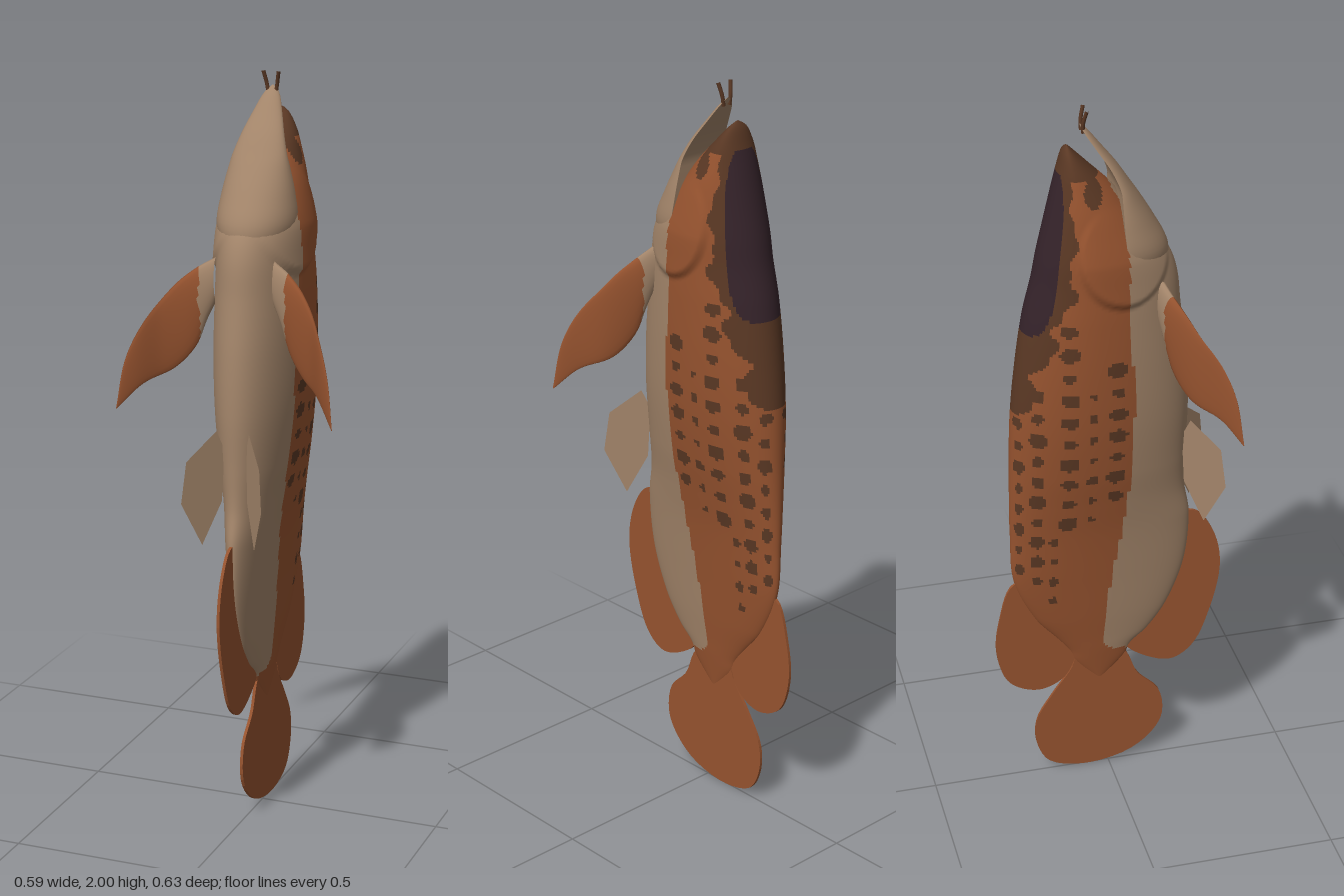
import * as THREE from 'three';

const mat = (name, color) => {
  const m = new THREE.MeshStandardMaterial({ color });
  m.name = name;
  return m;
};

// Smooth interpolation through rows [t, a, b, ...]
function track(rows) {
  const slope = (i, k) => {
    const a = rows[Math.max(i - 1, 0)], b = rows[Math.min(i + 1, rows.length - 1)];
    return (b[k] - a[k]) / (b[0] - a[0]);
  };
  return (t) => {
    let i = 0;
    while (i < rows.length - 2 && t > rows[i + 1][0]) i++;
    const p = rows[i], q = rows[i + 1], h = q[0] - p[0];
    const s = Math.min(Math.max((t - p[0]) / h, 0), 1), s2 = s * s, s3 = s2 * s;
    return p.slice(1).map((v, n) => {
      const k = n + 1;
      return (2 * s3 - 3 * s2 + 1) * v + (s3 - 2 * s2 + s) * h * slope(i, k)
        + (3 * s2 - 2 * s3) * q[k] + (s3 - s2) * h * slope(i + 1, k);
    });
  };
}

// Closed rings stacked along v; paint(centre) picks the material of each quad
function loft(name, nv, nu, point, materials, paint) {
  const pos = [], buckets = materials.map(() => []);
  for (let i = 0; i <= nv; i++)
    for (let j = 0; j < nu; j++) pos.push(...point(i / nv, (j / nu) * Math.PI * 2));
  const at = (i, k) => pos[i * 3 + k];
  for (let i = 0; i < nv; i++) {
    for (let j = 0; j < nu; j++) {
      const a = i * nu + j, b = i * nu + ((j + 1) % nu), c = a + nu, d = b + nu;
      const mid = [0, 1, 2].map((k) => (at(a, k) + at(b, k) + at(c, k) + at(d, k)) / 4);
      buckets[paint ? paint(...mid) : 0].push(a, c, b, b, c, d);
    }
  }
  const g = new THREE.BufferGeometry();
  g.setAttribute('position', new THREE.Float32BufferAttribute(pos, 3));
  g.setIndex(buckets.flat());
  let start = 0;
  buckets.forEach((b, i) => { g.addGroup(start, b.length, i); start += b.length; });
  g.computeVertexNormals();
  const mesh = new THREE.Mesh(g, materials);
  mesh.name = name;
  return mesh;
}

// Thin fin in the middle plane, outline given as [z, y]
function midFin(name, outline, material, depth = 0.008) {
  const curve = new THREE.CatmullRomCurve3(outline.map(([z, y]) => new THREE.Vector3(z, y, 0)), true);
  const shape = new THREE.Shape(curve.getPoints(56).slice(0, -1).map((p) => new THREE.Vector2(p.x, p.y)));
  const g = new THREE.ExtrudeGeometry(shape, { depth, bevelEnabled: false });
  g.translate(0, 0, -depth / 2);
  g.rotateY(-Math.PI / 2);
  const mesh = new THREE.Mesh(g, material);
  mesh.name = name;
  return mesh;
}

const clamp = THREE.MathUtils.clamp;

export function createModel() {
  const root = new THREE.Group();
  root.name = 'fish';
  const rust = mat('rust', 0x96532f), tan = mat('tan', 0xa3856a);
  const brown = mat('dark brown', 0x5a3824), plum = mat('dark plum', 0x35232a);

  // Body rows: y, belly z, widest z, back z, half width
  const body = track([
    [0.29, -0.02, -0.025, -0.03, 0.003], [0.36, 0.045, -0.025, -0.092, 0.012],
    [0.4, 0.065, -0.025, -0.11, 0.017], [0.44, 0.11, -0.03, -0.14, 0.021],
    [0.52, 0.165, -0.03, -0.205, 0.03], [0.65, 0.212, -0.03, -0.262, 0.043],
    [0.8, 0.225, -0.03, -0.27, 0.06], [0.9, 0.21, -0.03, -0.27, 0.076],
    [1.0, 0.21, -0.03, -0.268, 0.093], [1.15, 0.215, -0.035, -0.263, 0.11],
    [1.3, 0.208, -0.04, -0.248, 0.117], [1.45, 0.19, -0.04, -0.225, 0.117],
    [1.55, 0.178, -0.04, -0.2, 0.113], [1.62, 0.15, -0.045, -0.186, 0.11],
    [1.7, 0.085, -0.055, -0.167, 0.099], [1.75, 0.045, -0.065, -0.155, 0.089],
    [1.8, 0.005, -0.08, -0.143, 0.074], [1.85, -0.045, -0.095, -0.13, 0.056],
    [1.895, -0.09, -0.105, -0.117, 0.028], [1.91, -0.105, -0.105, -0.106, 0.002],
  ]);
  const ring = ([zf, zc, zb, w], y, a) => {
    const s = Math.sin(a);
    return [w * Math.cos(a), y, zc + s * (s > 0 ? zf - zc : zc - zb)];
  };
  // Gill covers swell from the head and drop off at the rear edge
  const bodyPoint = (v, a) => {
    const p = ring(body(0.29 + 1.62 * v), 0.29 + 1.62 * v, a);
    const e = ((p[2] - 0.025) / 0.13) ** 2 + ((p[1] - 1.64) / 0.145) ** 2;
    p[0] += Math.cos(a) * 0.013 * clamp((1 - e) * 5, 0, 1) * clamp((1.76 - p[1]) / 0.14, 0, 1);
    return p;
  };

  // Body markings
  const bellyLine = track([[0.385, 0.06], [0.4, 0.0], [0.44, -0.018], [0.52, -0.015], [0.65, 0.0],
    [0.86, 0.03], [1.13, 0.045], [1.5, 0.03], [1.76, 0.02], [1.8, 0.0], [1.92, 0.0]]);
  const spots = [ // z, lowest y, highest y, z radius, y radius
    [0.0, 0.93, 1.36, 0.027, 0.02], [-0.065, 0.86, 1.3, 0.014, 0.013], [-0.125, 0.85, 1.45, 0.026, 0.02],
    [-0.16, 0.59, 0.8, 0.013, 0.015], [-0.205, 0.66, 1.3, 0.02, 0.022], [-0.25, 0.7, 1.25, 0.012, 0.02],
  ];
  const inSpot = (y, z) => spots.some(([z0, lo, hi, rz, ry]) => {
    const k = Math.round((y - lo) / 0.066), c = lo + k * 0.066;
    const r = 0.85 + 0.2 * Math.sin(k * 2.3 + z0 * 40);
    return k >= 0 && c <= hi && ((z - z0) / rz) ** 2 + ((y - c) / ry) ** 2 < r * r;
  });
  const paintBody = (x, y, z) => {
    if (y > 0.385 && z > bellyLine(y)[0]) return 1;
    const [, zc, zb] = body(y);
    const s = (z - zc) / (zc - zb);
    const round = 1 - Math.sqrt(clamp(1 - ((y - 1.63) / 0.215) ** 2, 0, 1));
    if (Math.abs(y - 1.63) < 0.215 && s < -0.7 - 0.3 * round * round) return 3;
    const wave = 0.07 * Math.sin(y * 42) + 0.04 * Math.sin(y * 95);
    const edge = y > 1.55 ? -0.47 : -0.47 - (1.55 - y) * 1.25;
    if (y > 1.83 || (y > 1.17 && s < edge + wave)) return 2;
    if (((z + 0.055) / 0.025) ** 2 + ((y - 1.8) / 0.035) ** 2 < 1) return 2;
    return inSpot(y, z) ? 2 : 0;
  };
  root.add(loft('body', 190, 144, bodyPoint, [rust, tan, brown, plum], paintBody));

  // Lower jaw: rounded below, flat inside the mouth
  const jaw = track([
    [1.57, 0.155, 0.03, 0.03, 0.09], [1.63, 0.152, 0.025, 0.025, 0.106], [1.7, 0.117, 0.02, 0.02, 0.098],
    [1.77, 0.075, 0.018, 0.018, 0.082], [1.8, 0.055, 0.016, 0.016, 0.073], [1.85, 0.022, -0.005, -0.005, 0.057],
    [1.9, -0.017, -0.037, -0.037, 0.039], [1.945, -0.053, -0.066, -0.066, 0.02], [1.962, -0.072, -0.073, -0.073, 0.002],
  ]);
  root.add(loft('lowerJaw', 30, 40, (v, a) => ring(jaw(1.57 + 0.392 * v), 1.57 + 0.392 * v, a), [tan]));

  // Fins in the middle plane
  root.add(midFin('dorsalFin', [[-0.2, 0.64], [-0.265, 0.64], [-0.305, 0.53], [-0.315, 0.42], [-0.28, 0.32],
    [-0.2, 0.283], [-0.13, 0.31], [-0.097, 0.37], [-0.09, 0.45]], rust));
  root.add(midFin('analFin', [[0.2, 0.8], [0.245, 0.8], [0.295, 0.73], [0.317, 0.62], [0.287, 0.465], [0.24, 0.36],
    [0.18, 0.323], [0.095, 0.352], [0.05, 0.395], [0.08, 0.47]], rust));
  root.add(midFin('tailFin', [[0.04, 0.38], [0.085, 0.29], [0.147, 0.22], [0.152, 0.12], [0.075, 0.035], [-0.06, 0.002],
    [-0.17, 0.03], [-0.207, 0.1], [-0.205, 0.18], [-0.16, 0.26], [-0.105, 0.34], [-0.08, 0.4]], rust));

  // Pectoral fin rows: t, front edge x y, rear edge x y, half thickness
  const pectoral = track([
    [0, 0.08, 1.545, 0.08, 1.43, 0.018], [1, 0.13, 1.515, 0.103, 1.38, 0.018], [2, 0.18, 1.47, 0.13, 1.31, 0.014],
    [3, 0.235, 1.39, 0.178, 1.255, 0.01], [4, 0.275, 1.29, 0.24, 1.222, 0.006], [5, 0.294, 1.165, 0.293, 1.163, 0.001],
  ]);
  const pectoralZ = track([[0.05, 0.115], [0.08, 0.122], [0.13, 0.14], [0.2, 0.185], [0.25, 0.24], [0.3, 0.287]]);
  const finPoint = (v, a) => {
    const [lx, ly, tx, ty, th] = pectoral(v * 5), m = (1 - Math.cos(a)) / 2;
    const x = lx + (tx - lx) * m;
    return [x, ly + (ty - ly) * m, pectoralZ(x)[0] - th * Math.sin(a)];
  };

  // Pelvic fin: flat slanted blade
  const pelvicShape = new THREE.Shape([[0.03, 1.06], [0.045, 1.11], [0.1, 1.04], [0.11, 0.93], [0.072, 0.81], [0.035, 0.92]]
    .map(([x, y]) => new THREE.Vector2(x, y)));
  const pelvicGeo = new THREE.ShapeGeometry(pelvicShape);
  const pp = pelvicGeo.attributes.position;
  for (let i = 0; i < pp.count; i++) pp.setZ(i, 0.2 + (pp.getX(i) - 0.035) * 1.25);
  pelvicGeo.computeVertexNormals();
  const bladeTan = mat('tan blade', 0xa3856a);
  bladeTan.side = THREE.DoubleSide;

  // Paired parts
  for (const [side, sx] of [['left', 1], ['right', -1]]) {
    const pair = new THREE.Group();
    pair.name = side + 'Parts';
    pair.scale.x = sx;
    pair.add(loft(side + 'PectoralFin', 30, 20, finPoint, [rust, tan], (x) => (x < 0.118 ? 1 : 0)));
    const pelvic = new THREE.Mesh(pelvicGeo, bladeTan);
    pelvic.name = side + 'PelvicFin';
    const path = new THREE.CatmullRomCurve3([[0.01, 1.94, -0.066], [0.014, 1.965, -0.066], [0.021, 2.0, -0.058]]
      .map((p) => new THREE.Vector3(...p)));
    const barbel = new THREE.Mesh(new THREE.TubeGeometry(path, 6, 0.005, 6), brown);
    barbel.name = side + 'Barbel';
    pair.add(pelvic, barbel);
    root.add(pair);
  }
  return root;
}
